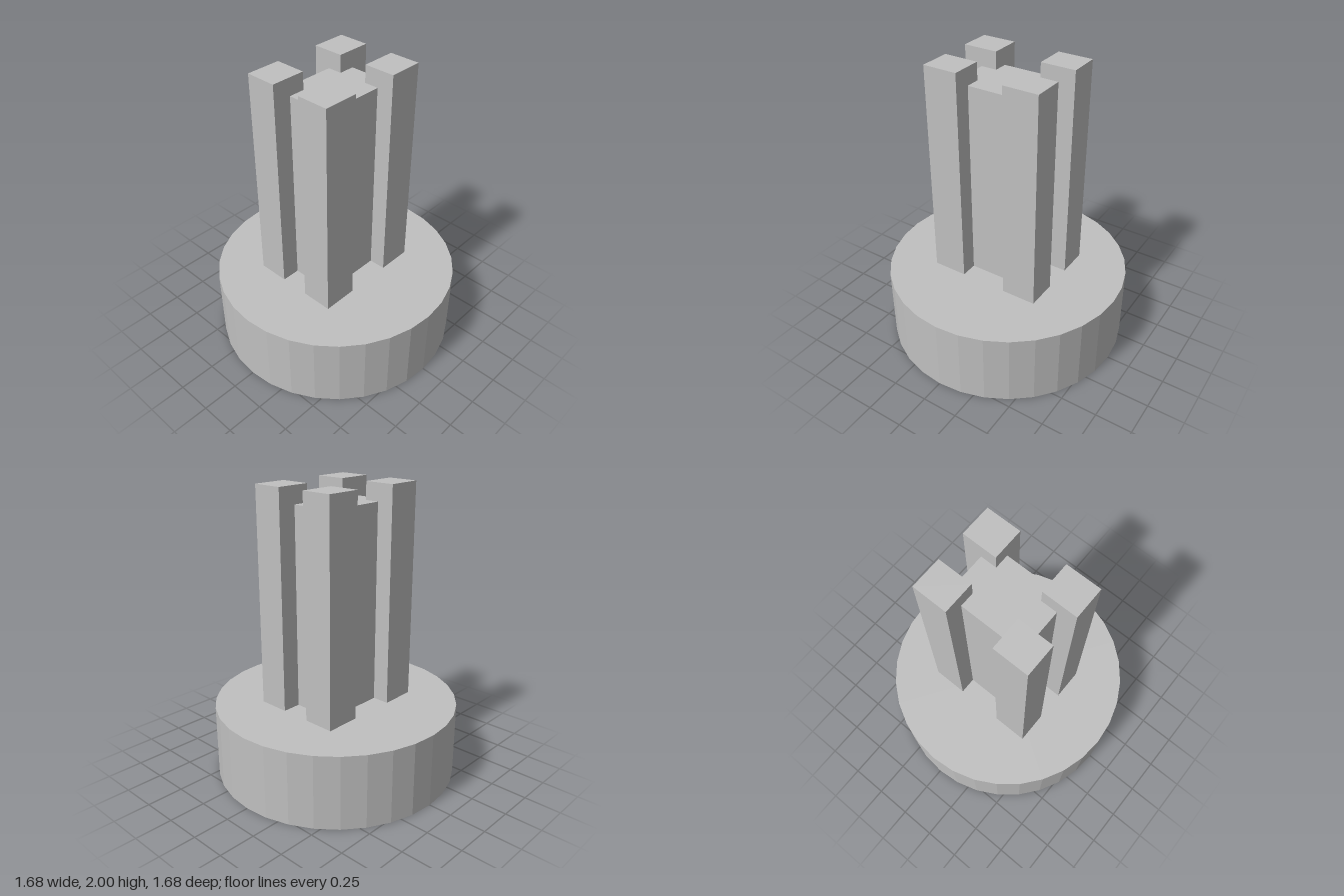
import * as THREE from 'three';

export function createModel() {
  const model = new THREE.Group();
  const grey = new THREE.MeshStandardMaterial({ color: 0xc0c0c0, flatShading: true });
  grey.name = 'light grey';

  const baseTop = 0.51;

  function add(name, geometry, x, y, z) {
    const mesh = new THREE.Mesh(geometry, grey);
    mesh.name = name;
    mesh.position.set(x, y, z);
    model.add(mesh);
  }

  // A block standing on the base, centred on x and z
  function block(name, width, top, depth, x, z) {
    const height = top - baseTop;
    add(name, new THREE.BoxGeometry(width, height, depth), x, baseTop + height / 2, z);
  }

  // Round faceted base
  add('base', new THREE.CylinderGeometry(0.838, 0.838, baseTop, 32), 0, baseTop / 2, 0);

  // Lower central core, set slightly towards the back
  const centreZ = -0.01;
  block('core', 0.55, 1.88, 0.406, 0, centreZ);

  // Four taller corner posts
  for (const [side, sx] of [['Left', 1], ['Right', -1]]) {
    for (const [end, sz] of [['front', 1], ['back', -1]]) {
      block(`${end}${side}Post`, 0.24, 2, 0.216, sx * 0.283, centreZ + sz * 0.211);
    }
  }

  return model;
}
